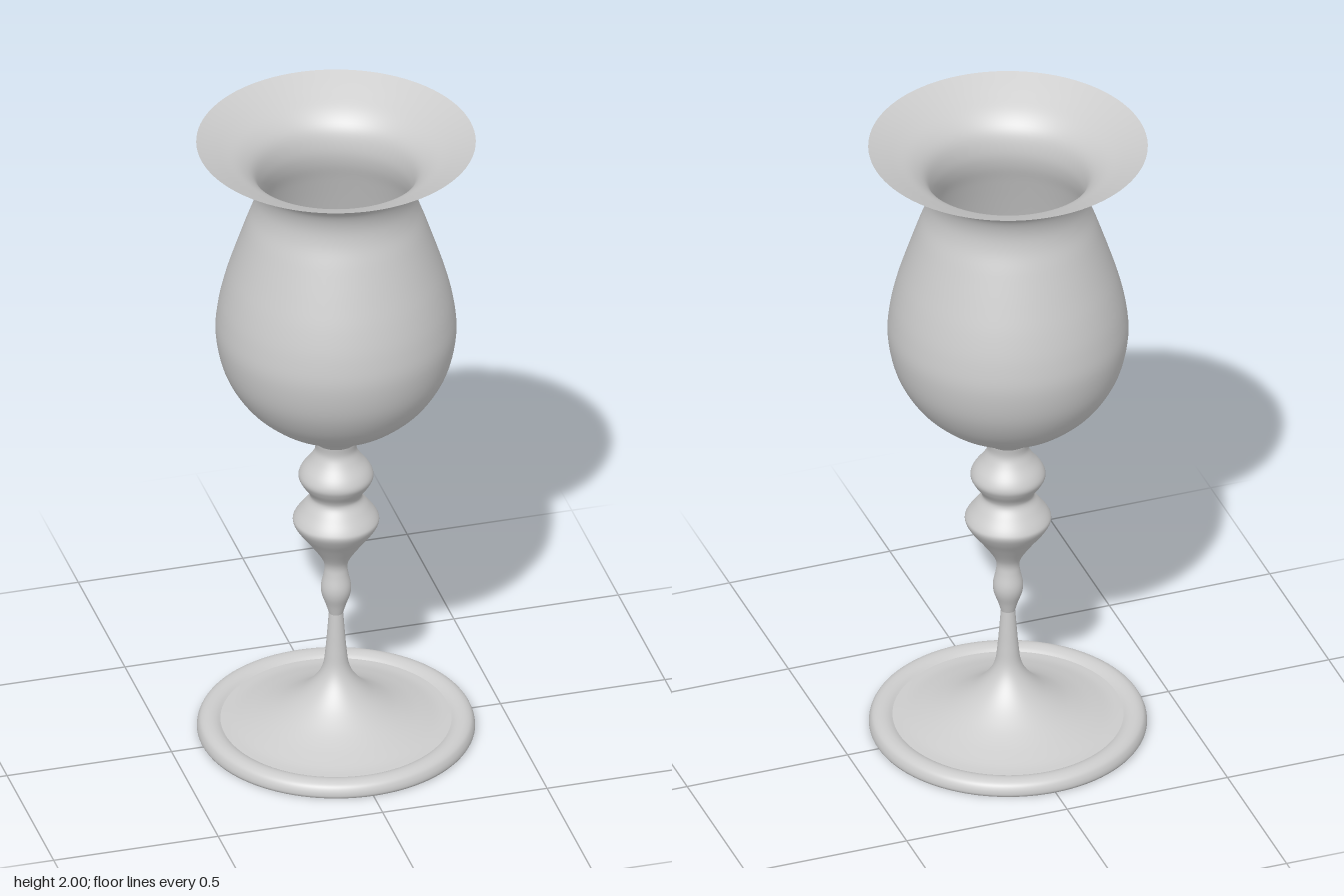
import * as THREE from 'three';

const SEGMENTS = 96;

// Smooth curve through [radius, height] pairs
function smooth(pairs, steps = 5) {
  const curve = new THREE.SplineCurve(pairs.map(([r, y]) => new THREE.Vector2(r, y)));
  return curve.getPoints((pairs.length - 1) * steps);
}

// Turned part: the profile runs upward for outside walls, downward for inside walls
function turned(name, points, material) {
  const mesh = new THREE.Mesh(new THREE.LatheGeometry(points, SEGMENTS), material);
  mesh.name = name;
  return mesh;
}

export function createModel() {
  const group = new THREE.Group();
  group.name = 'goblet';
  const material = new THREE.MeshStandardMaterial({ color: 0xcccccc });
  const add = (name, pairs, curved = true) => {
    const points = curved ? smooth(pairs) : pairs.map(([r, y]) => new THREE.Vector2(r, y));
    group.add(turned(name, points, material));
  };

  // Flat underside and the rounded lip around the foot
  add('footUnderside', [[0, 0], [0.403, 0]], false);
  add('footLip', [
    [0.403, 0], [0.407, 0.008], [0.405, 0.022], [0.397, 0.036], [0.382, 0.044],
    [0.365, 0.045], [0.35, 0.041], [0.338, 0.034],
  ]);

  // Foot sweeping up into the slender stem
  add('foot', [
    [0.338, 0.034], [0.305, 0.037], [0.268, 0.046], [0.215, 0.063], [0.16, 0.088],
    [0.105, 0.125], [0.062, 0.17], [0.039, 0.215], [0.031, 0.27], [0.026, 0.33], [0.021, 0.395],
  ]);

  // Stem: small knop, tapered knop, round knop and collar
  add('stem', [
    [0.021, 0.395], [0.03, 0.425], [0.042, 0.46], [0.044, 0.49], [0.036, 0.53],
    [0.034, 0.56], [0.046, 0.59], [0.08, 0.64], [0.11, 0.68], [0.126, 0.71],
    [0.121, 0.73], [0.097, 0.763], [0.078, 0.79], [0.08, 0.81], [0.1, 0.84],
    [0.11, 0.864], [0.101, 0.89], [0.075, 0.925], [0.061, 0.955], [0.064, 0.985],
  ]);

  // Outside of the bowl, flaring to the rim
  add('bowlOutside', [
    [0.064, 0.985], [0.1, 1.018], [0.155, 1.05], [0.215, 1.09], [0.28, 1.155], [0.33, 1.245],
    [0.352, 1.35], [0.346, 1.44], [0.326, 1.53], [0.298, 1.62], [0.266, 1.715],
    [0.242, 1.785], [0.237, 1.84], [0.252, 1.89], [0.285, 1.923], [0.345, 1.96], [0.409, 2],
  ]);

  // Inside of the bowl, from the thin rim down to the bottom
  add('bowlInside', [
    [0.409, 2], [0.34, 1.968], [0.278, 1.935], [0.24, 1.895], [0.225, 1.84],
    [0.23, 1.785], [0.254, 1.715], [0.286, 1.62], [0.314, 1.53], [0.334, 1.44],
    [0.34, 1.35], [0.318, 1.25], [0.269, 1.165], [0.206, 1.103], [0.14, 1.06],
    [0.07, 1.033], [0, 1.025],
  ]);

  return group;
}
